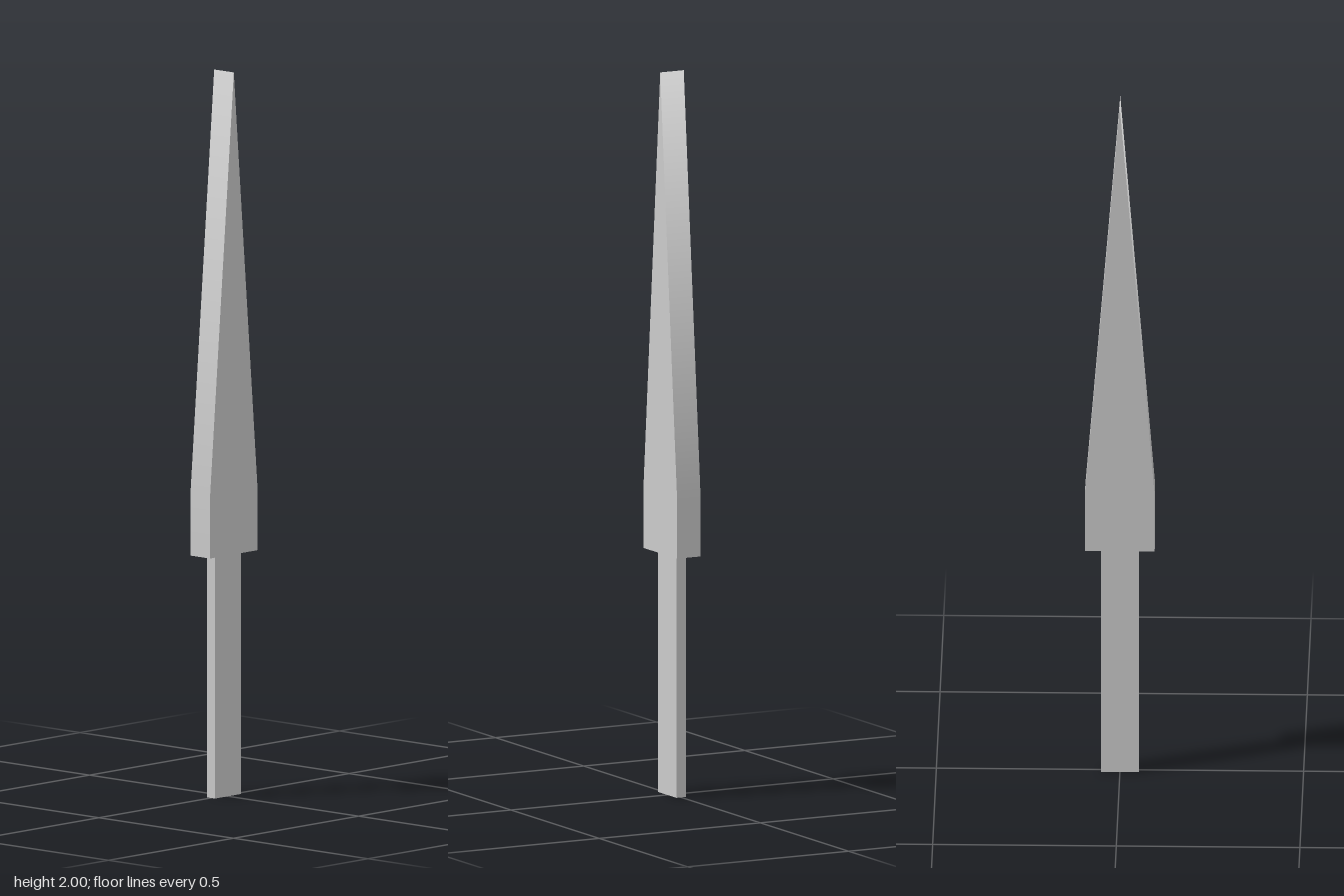
import * as THREE from 'three';

const material = new THREE.MeshStandardMaterial({ color: 0xcccccc });

const HALF_WIDTH = 0.095, BASE = 0.67, SHOULDER = 0.84, TIP = 2, DEPTH = 0.073;

// Pointed blade: outline extruded along z, edges shaded smoothly over shoulder and tip
function bladeGeometry() {
  const outline = new THREE.Shape([
    new THREE.Vector2(-HALF_WIDTH, BASE),
    new THREE.Vector2(HALF_WIDTH, BASE),
    new THREE.Vector2(HALF_WIDTH, SHOULDER),
    new THREE.Vector2(0, TIP),
    new THREE.Vector2(-HALF_WIDTH, SHOULDER),
  ]);
  const geometry = new THREE.ExtrudeGeometry(outline, { depth: DEPTH, bevelEnabled: false });
  geometry.translate(0, 0, -DEPTH / 2);

  const { position, normal } = geometry.attributes;
  const n = new THREE.Vector3();
  for (let i = 0; i < position.count; i++) {
    if (Math.abs(normal.getZ(i)) > 0.5) continue; // flat faces stay flat
    const y = position.getY(i);
    if (y > TIP - 0.01) n.set(0, 1, 0);
    else if (y > SHOULDER - 0.01) n.set(Math.sign(position.getX(i)), 0.041, 0).normalize();
    else continue;
    normal.setXYZ(i, n.x, n.y, n.z);
  }
  return geometry;
}

export function createModel() {
  const model = new THREE.Group();
  model.name = 'spike';

  const blade = new THREE.Mesh(bladeGeometry(), material);
  blade.name = 'blade';

  // Thin flat tang below the blade
  const tang = new THREE.Mesh(new THREE.BoxGeometry(0.104, BASE, 0.03), material);
  tang.name = 'tang';
  tang.position.y = BASE / 2;

  model.add(blade, tang);
  return model;
}
